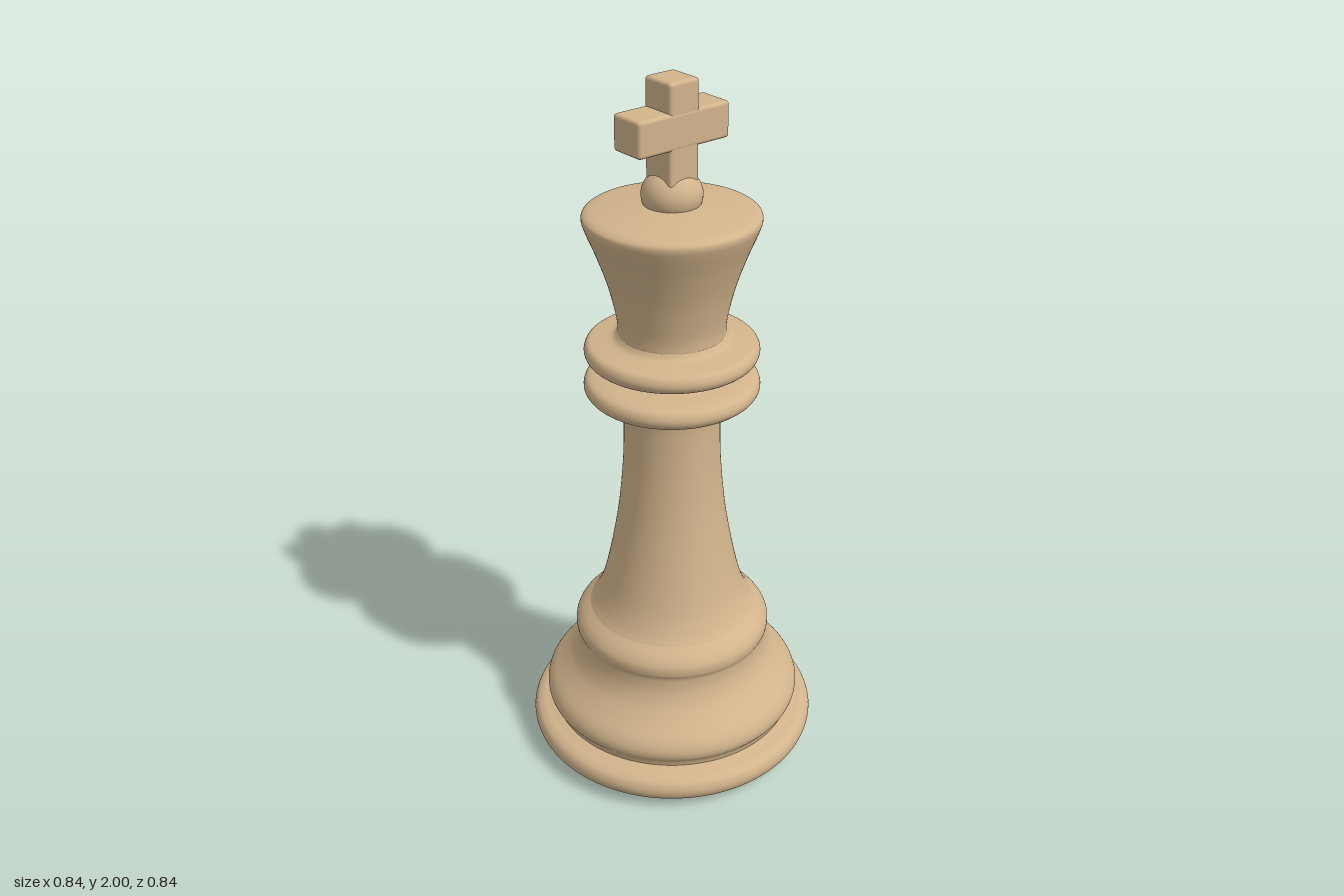
import * as THREE from 'three';
import { RoundedBoxGeometry } from 'three/addons/geometries/RoundedBoxGeometry.js';

const wood = new THREE.MeshStandardMaterial({ color: 0xd2b48c });
const felt = new THREE.MeshStandardMaterial({ color: 0x14281e });

// Smooth turned section through [radius, height] points, bottom to top
function turned(name, profile) {
  const curve = new THREE.SplineCurve(profile.map(([r, y]) => new THREE.Vector2(r, y)));
  const points = curve.getPoints((profile.length - 1) * 5);
  points.forEach((p) => { p.x = Math.max(p.x, 0); });
  const mesh = new THREE.Mesh(new THREE.LatheGeometry(points, 96), wood);
  mesh.name = name;
  return mesh;
}

function roundedBar(name, w, h, d, y) {
  const mesh = new THREE.Mesh(new RoundedBoxGeometry(w, h, d, 4, 0.01), wood);
  mesh.name = name;
  mesh.position.y = y;
  return mesh;
}

export function createModel() {
  const king = new THREE.Group();
  king.name = 'chessKing';

  // Felt pad under the base
  const pad = new THREE.Mesh(new THREE.CylinderGeometry(0.367, 0.367, 0.03, 96), felt);
  pad.name = 'feltPad';
  pad.position.y = 0.015;
  king.add(pad);

  // Turned body
  king.add(
    turned('baseRing', [
      [0.34, 0.024], [0.385, 0.026], [0.41, 0.037], [0.42, 0.063],
      [0.413, 0.088], [0.395, 0.101], [0.375, 0.106], [0.355, 0.112],
    ]),
    turned('foot', [
      [0.355, 0.112], [0.36, 0.13], [0.373, 0.15], [0.374, 0.175], [0.36, 0.203],
      [0.325, 0.24], [0.297, 0.275], [0.28, 0.315], [0.276, 0.355], [0.282, 0.375],
      [0.281, 0.4], [0.266, 0.424], [0.24, 0.447],
    ]),
    turned('stem', [
      [0.24, 0.447], [0.222, 0.475], [0.2, 0.53], [0.175, 0.635], [0.151, 0.775],
      [0.137, 0.92], [0.133, 1.04], [0.136, 1.1], [0.15, 1.117],
    ]),
    turned('lowerCollar', [
      [0.15, 1.117], [0.19, 1.128], [0.225, 1.141], [0.239, 1.163],
      [0.23, 1.188], [0.2, 1.198], [0.155, 1.203], [0.143, 1.215],
    ]),
    turned('upperCollar', [
      [0.143, 1.215], [0.165, 1.224], [0.205, 1.236], [0.229, 1.25], [0.236, 1.27],
      [0.226, 1.29], [0.2, 1.296], [0.16, 1.303], [0.145, 1.318],
    ]),
    turned('crown', [
      [0.145, 1.318], [0.147, 1.36], [0.167, 1.45], [0.197, 1.54], [0.225, 1.61],
      [0.233, 1.638], [0.226, 1.652], [0.2, 1.661], [0.13, 1.671], [0.06, 1.678], [0, 1.678],
    ]),
  );

  // Ball and cross on top
  const ball = new THREE.Mesh(new THREE.SphereGeometry(0.08, 48, 32), wood);
  ball.name = 'finialBall';
  ball.position.y = 1.7;
  ball.scale.y = 0.87;

  const cross = new THREE.Group();
  cross.name = 'cross';
  cross.add(
    roundedBar('crossUpright', 0.094, 0.27, 0.102, 1.865),
    roundedBar('crossArms', 0.29, 0.095, 0.104, 1.877),
  );
  king.add(ball, cross);
  return king;
}
